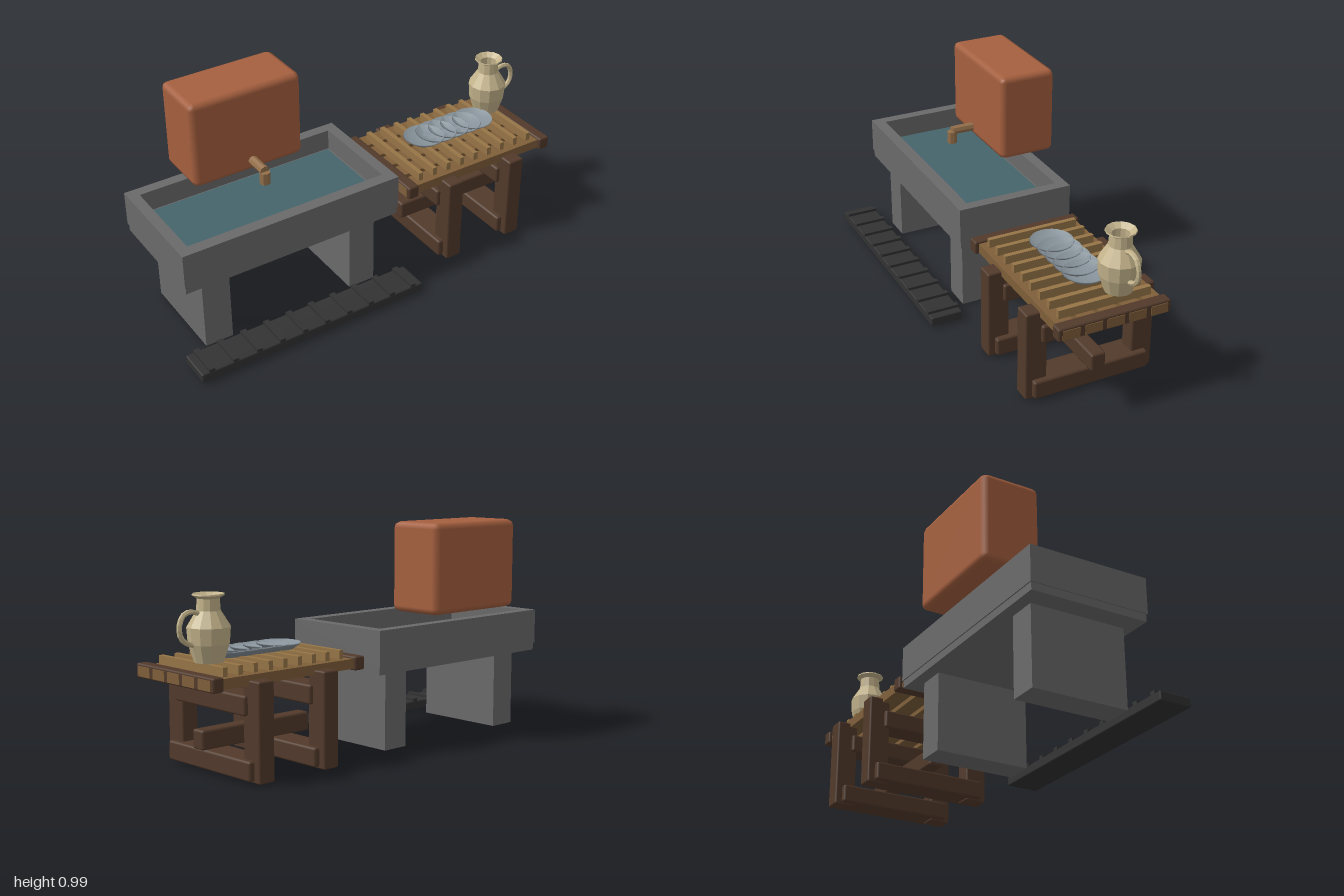
import * as THREE from 'three';
import { RoundedBoxGeometry } from 'three/addons/geometries/RoundedBoxGeometry.js';

const colours = {
  stone: 0x6b6a6a, water: 0x45646b, clay: 0xa6603f, darkWood: 0x523a2b, boardWood: 0x7f5f3a,
  slatWood: 0x977547, brass: 0x94704a, rubber: 0x323232, plate: 0x87929a, pottery: 0xc4b48c,
};

export function createModel() {
  const root = new THREE.Group();
  const mat = {};
  for (const [name, color] of Object.entries(colours)) {
    mat[name] = new THREE.MeshStandardMaterial({ color });
    mat[name].name = name;
  }
  mat.pottery.flatShading = true;
  mat.brass.flatShading = true;
  mat.pottery.side = mat.plate.side = THREE.DoubleSide;

  function add(name, geometry, material, x = 0, y = 0, z = 0) {
    const mesh = new THREE.Mesh(geometry, material);
    mesh.name = name;
    mesh.position.set(x, y, z);
    root.add(mesh);
    return mesh;
  }
  // Box from its limits on each axis, with an optional bevel
  function block(name, material, [x0, x1], [y0, y1], [z0, z1], bevel = 0) {
    const s = [x1 - x0, y1 - y0, z1 - z0];
    const geometry = bevel ? new RoundedBoxGeometry(...s, 1, bevel) : new THREE.BoxGeometry(...s);
    return add(name, geometry, material, (x0 + x1) / 2, (y0 + y1) / 2, (z0 + z1) / 2);
  }
  const around = (c, size) => [c - size / 2, c + size / 2];

  // Stone basin: four-sided rim, slab, water and two slab legs
  const rim = new THREE.Shape([[-0.97, -0.225], [0.085, -0.225], [0.085, 0.32], [-0.97, 0.32]]
    .map(p => new THREE.Vector2(...p)));
  rim.holes.push(new THREE.Path([[-0.92, -0.17], [-0.92, 0.27], [0.035, 0.27], [0.035, -0.17]]
    .map(p => new THREE.Vector2(...p))));
  const rimGeometry = new THREE.ExtrudeGeometry(rim, { depth: 0.16, bevelEnabled: false });
  rimGeometry.rotateX(-Math.PI / 2);
  add('basinRim', rimGeometry, mat.stone, 0, 0.387, 0);
  block('basinSlab', mat.stone, [-0.965, 0.08], [0.353, 0.395], [-0.315, 0.22]);
  block('basinStep', mat.stone, [-0.925, 0.04], [0.39, 0.45], [-0.275, 0.175]);
  block('water', mat.water, [-0.908, 0.023], [0.445, 0.456], [-0.258, 0.158]);
  for (const x of [-0.808, -0.075]) {
    block('basinLeg', mat.stone, around(x, 0.13), [0, 0.36], [-0.26, 0.175]);
  }

  // Water tank and tap
  block('waterTank', mat.clay, [-0.73, -0.195], [0.59, 0.993], [-0.384, -0.115], 0.027);
  const pipe = new THREE.CylinderGeometry(0.021, 0.021, 0.103, 8);
  pipe.rotateX(Math.PI / 2);
  add('tapPipe', pipe, mat.brass, -0.462, 0.66, -0.038);
  add('tapSpout', new THREE.CylinderGeometry(0.024, 0.024, 0.055, 8), mat.brass, -0.462, 0.628, 0.013);

  // Ribbed floor mat
  block('matBase', mat.rubber, [-1, 0.115], [0.01, 0.052], [0.235, 0.385], 0.006);
  for (let i = 0; i < 10; i++) {
    block('matRib', mat.rubber, around(-0.952 + i * 0.113, 0.026), [0.048, 0.065], [0.236, 0.384]);
  }

  // Table trestles: posts with cross rails, joined by a stretcher
  for (const x of [0.389, 0.735]) {
    for (const z of [0.206, -0.295]) {
      block('tablePost', mat.darkWood, around(x, 0.08), [0.003, 0.415], around(z, 0.099), 0.008);
    }
    block('upperRail', mat.darkWood, around(x, 0.115), [0.27, 0.353], [-0.275, 0.187], 0.01);
    block('lowerRail', mat.darkWood, around(x, 0.132), [0.012, 0.095], [-0.313, 0.225], 0.01);
  }
  block('stretcher', mat.darkWood, [0.275, 0.85], [0.107, 0.19], [-0.077, -0.009], 0.01);

  // Table top: long boards let through the end beams, thin slats across
  for (const x of [0.183, 0.937]) {
    block('endBeam', mat.darkWood, around(x, 0.054), [0.387, 0.447], [-0.3, 0.212], 0.008);
  }
  for (let i = 0; i < 5; i++) {
    block('tableBoard', mat.boardWood, [0.153, 0.967], [0.394, 0.437], around(0.155 - i * 0.1, 0.078));
  }
  for (let i = 0; i < 9; i++) {
    block('dryingSlat', mat.slatWood, around(0.25 + i * 0.0775, 0.022), [0.435, 0.475], [-0.255, 0.168]);
  }

  // Row of overlapping plates
  const dish = [[0, 0.006], [0.06, 0.006], [0.094, 0.028], [0.096, 0.024], [0.064, 0], [0, 0]]
    .map(p => new THREE.Vector2(...p)).reverse();
  const dishGeometry = new THREE.LatheGeometry(dish, 24);
  for (let i = 0; i < 5; i++) {
    add('dinnerPlate', dishGeometry, mat.plate, 0.42 + i * 0.071, 0.478, -0.048);
  }

  // Faceted jug with a loop handle
  const jug = [[0, 0], [0.06, 0], [0.084, 0.075], [0.089, 0.142], [0.049, 0.207], [0.046, 0.255],
    [0.066, 0.268], [0.064, 0.274], [0.038, 0.256], [0.038, 0.2], [0, 0.16]]
    .map(p => new THREE.Vector2(...p));
  add('jugBody', new THREE.LatheGeometry(jug, 12), mat.pottery, 0.845, 0.478, -0.122);
  const loop = new THREE.CatmullRomCurve3([[0.885, 0.67], [0.925, 0.685], [0.967, 0.675], [0.988, 0.63],
    [0.98, 0.585], [0.95, 0.56], [0.915, 0.55]].map(([x, y]) => new THREE.Vector3(x, y, -0.122)));
  add('jugHandle', new THREE.TubeGeometry(loop, 12, 0.011, 6), mat.pottery);

  return root;
}
